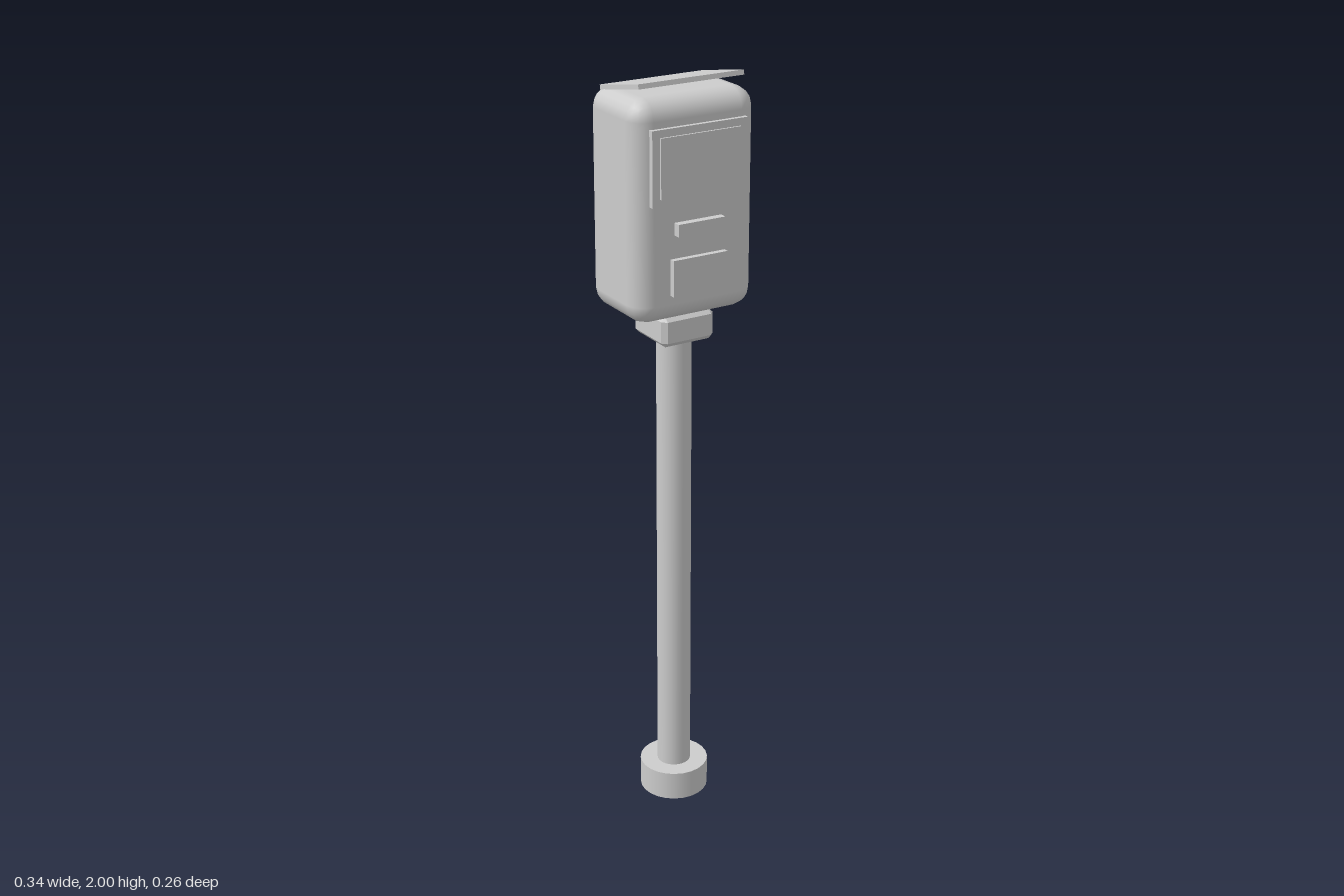
import * as THREE from 'three';
import { RoundedBoxGeometry } from 'three/addons/geometries/RoundedBoxGeometry.js';
import { ConvexGeometry } from 'three/addons/geometries/ConvexGeometry.js';

// Box whose twelve edges are cut by flat chamfers
function chamferedBox(w, h, d, c) {
  const points = [];
  for (const sx of [-1, 1]) for (const sy of [-1, 1]) for (const sz of [-1, 1]) {
    const x = w / 2, y = h / 2, z = d / 2;
    for (const [px, py, pz] of [[x, y - c, z - c], [x - c, y, z - c], [x - c, y - c, z]]) {
      points.push(new THREE.Vector3(sx * px, sy * py, sz * pz));
    }
  }
  return new ConvexGeometry(points);
}

export function createModel() {
  const model = new THREE.Group();
  model.name = 'postMountedTerminal';
  const grey = new THREE.MeshStandardMaterial({ color: 0xcccccc });
  grey.name = 'light grey';

  const add = (name, geometry, x, y, z) => {
    const mesh = new THREE.Mesh(geometry, grey);
    mesh.name = name;
    mesh.position.set(x, y, z);
    model.add(mesh);
    return mesh;
  };

  // Foot, pole and collar
  add('baseFoot', new THREE.CylinderGeometry(0.092, 0.092, 0.08, 24), 0, 0.04, 0);
  add('pole', new THREE.CylinderGeometry(0.045, 0.045, 1.29, 24), 0, 0.705, 0);
  add('collar', chamferedBox(0.15, 0.08, 0.15, 0.012), 0, 1.367, 0);

  // Rounded housing
  add('housing', new RoundedBoxGeometry(0.344, 0.555, 0.238, 2, 0.05), 0, 1.684, -0.008);

  // Tilted roof plate, higher at the front
  const roof = add('roofPlate', new THREE.BoxGeometry(0.292, 0.012, 0.185), 0, 1.974, -0.009);
  roof.rotation.x = -0.2;

  // Raised panels: name, width, bottom, top, back, front
  const panels = [
    ['screenFrame', 0.266, 1.709, 1.895, 0.1, 0.122],
    ['screen', 0.224, 1.728, 1.876, 0.1, 0.127],
    ['cardSlot', 0.132, 1.63, 1.661, 0.1, 0.131],
    ['lowerPanel', 0.154, 1.479, 1.571, 0.1, 0.126],
    ['backPanel', 0.212, 1.71, 1.79, -0.134, -0.115],
  ];
  for (const [name, w, y0, y1, z0, z1] of panels) {
    add(name, new THREE.BoxGeometry(w, y1 - y0, z1 - z0), 0, (y0 + y1) / 2, (z0 + z1) / 2);
  }
  return model;
}
